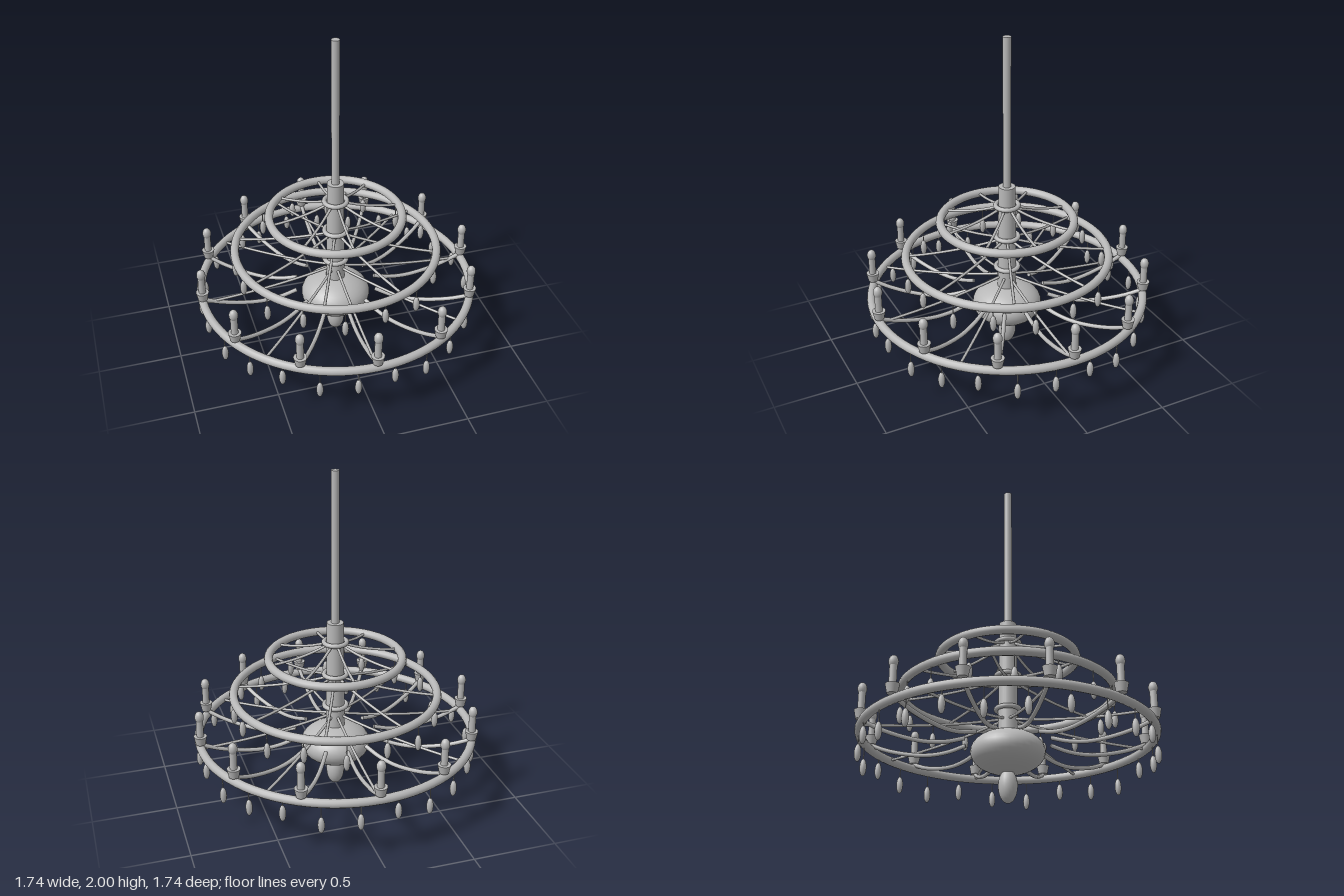
import * as THREE from 'three';

export function createModel() {
  const model = new THREE.Group();
  const metal = new THREE.MeshStandardMaterial({ color: 0xb8b8b8 });
  metal.name = 'grey metal';

  const add = (name, geo, x = 0, y = 0, z = 0, parent = model) => {
    const m = new THREE.Mesh(geo, metal);
    m.name = name;
    m.position.set(x, y, z);
    parent.add(m);
    return m;
  };
  const ellipsoid = (r, h, w = 20, s = 14) => new THREE.SphereGeometry(1, w, s).scale(r, h, r);
  const ring = (R, t, seg) => new THREE.TorusGeometry(R, t, 12, seg).rotateX(Math.PI / 2);
  // Repeat a builder around the vertical axis
  const around = (name, count, offset, build) => {
    for (let i = 0; i < count; i++) {
      const g = new THREE.Group();
      g.name = name;
      g.rotation.y = -(offset + (i * 2 * Math.PI) / count);
      build(g, i);
      model.add(g);
    }
  };
  const capEnds = (name, r, p, next, g) => {
    const d = new THREE.Vector3().subVectors(p, next).normalize();
    const c = add(name, new THREE.CircleGeometry(r, 8), p.x, p.y, p.z, g);
    c.quaternion.setFromUnitVectors(new THREE.Vector3(0, 0, 1), d);
  };

  // Central stem
  add('rod', new THREE.CylinderGeometry(0.024, 0.024, 0.94, 20), 0, 1.53, 0);
  add('column', new THREE.CylinderGeometry(0.05, 0.058, 0.72, 24), 0, 0.73, 0);
  for (const y of [0.965, 0.755, 0.548]) add('collar', ring(0.068, 0.014, 32), 0, y, 0);
  add('bowl', ellipsoid(0.212, 0.125, 32, 20), 0, 0.295, 0);
  add('finial', ellipsoid(0.055, 0.097), 0, 0.097, 0);

  // Three tiers: ring and sagging spokes
  const tiers = [
    { R: 0.398, y: 0.865, hub: 0.955, offset: 0 },
    { R: 0.613, y: 0.64, hub: 0.735, offset: Math.PI / 8 },
    { R: 0.832, y: 0.382, hub: 0.485, offset: 0 },
  ];
  for (const { R, y, hub, offset } of tiers) {
    add('tierRing', ring(R, 0.026, 80), 0, y, 0);
    const curve = new THREE.QuadraticBezierCurve3(
      new THREE.Vector3(0.04, hub, 0),
      new THREE.Vector3(R * 0.5, y + 0.015, 0),
      new THREE.Vector3(R, y, 0));
    const spoke = new THREE.TubeGeometry(curve, 16, 0.0085, 8);
    around('spoke', 8, offset, (g) => add('spokeTube', spoke, 0, 0, 0, g));
  }

  // Curved arms carrying candles
  const armCurve = new THREE.CatmullRomCurve3(
    [[0.25, 0.355], [0.35, 0.327], [0.46, 0.317], [0.58, 0.33], [0.72, 0.365], [0.832, 0.41]]
      .map(([x, y]) => new THREE.Vector3(x, y, 0)));
  const arm = new THREE.TubeGeometry(armCurve, 28, 0.013, 8);
  const cup = new THREE.CylinderGeometry(0.039, 0.028, 0.053, 20);
  const candle = new THREE.CylinderGeometry(0.021, 0.021, 0.13, 16);
  const bulb = ellipsoid(0.027, 0.037, 16, 12);
  around('candleArm', 12, 0, (g) => {
    add('arm', arm, 0, 0, 0, g);
    capEnds('armEnd', 0.013, armCurve.getPoint(0), armCurve.getPoint(0.02), g);
    add('cup', cup, 0.832, 0.44, 0, g);
    add('candle', candle, 0.832, 0.505, 0, g);
    add('bulb', bulb, 0.832, 0.592, 0, g);
  });

  // Hanging drops with thin wires
  const drop = ellipsoid(0.02, 0.051, 12, 10);
  const hang = (count, R, ringY, bottoms) =>
    around('hangingDrop', count, Math.PI / count, (g, i) => {
      const bottom = bottoms[i % bottoms.length];
      const top = bottom + 0.095;
      add('drop', drop, R, bottom + 0.051, 0, g);
      add('wire', new THREE.CylinderGeometry(0.003, 0.003, ringY - top, 6), R, (ringY + top) / 2, 0, g);
    });
  hang(24, 0.832, 0.37, [0.205, 0.19, 0.235]);
  hang(16, 0.613, 0.63, [0.45, 0.487]);

  return model;
}
